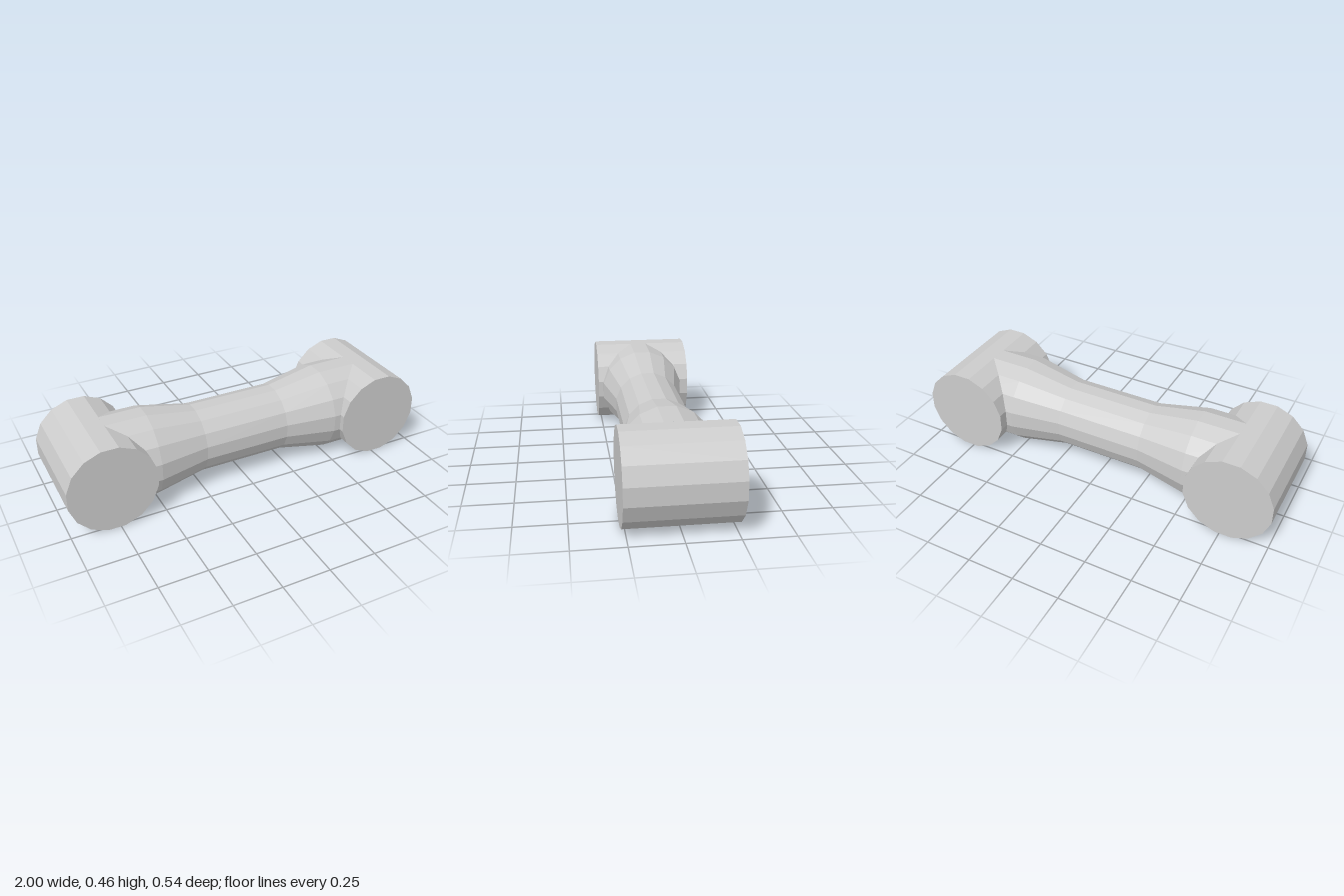
import * as THREE from 'three';

export function createModel() {
  const model = new THREE.Group();
  model.name = 'crossEndedBar';
  const material = new THREE.MeshStandardMaterial({ color: 0xcccccc, flatShading: true });

  const sides = 16;
  const turn = Math.PI / sides;            // puts a flat facet on top
  const corner = (flat) => flat / Math.cos(turn); // flat distance to corner radius
  const height = 0.23;

  // Cross cylinders at both ends
  for (const [name, s] of [['leftEnd', 1], ['rightEnd', -1]]) {
    const geometry = new THREE.CylinderGeometry(corner(0.23), corner(0.23), 0.54, sides, 1, false, turn);
    geometry.rotateX(Math.PI / 2);
    const end = new THREE.Mesh(geometry, material);
    end.name = name;
    end.position.set(s * 0.77, height, 0);
    model.add(end);
  }

  // Waisted shaft, running into the end cylinders
  const profile = [
    [0.23, -0.724], [0.23, -0.505], [0.179, -0.235],
    [0.179, 0.235], [0.23, 0.505], [0.23, 0.724],
  ].map(([flat, along]) => new THREE.Vector2(corner(flat), along));
  const shaftGeometry = new THREE.LatheGeometry(profile, sides, turn);
  shaftGeometry.rotateZ(Math.PI / 2);
  const shaft = new THREE.Mesh(shaftGeometry, material);
  shaft.name = 'shaft';
  shaft.position.set(0, height, 0.012);
  model.add(shaft);

  return model;
}
